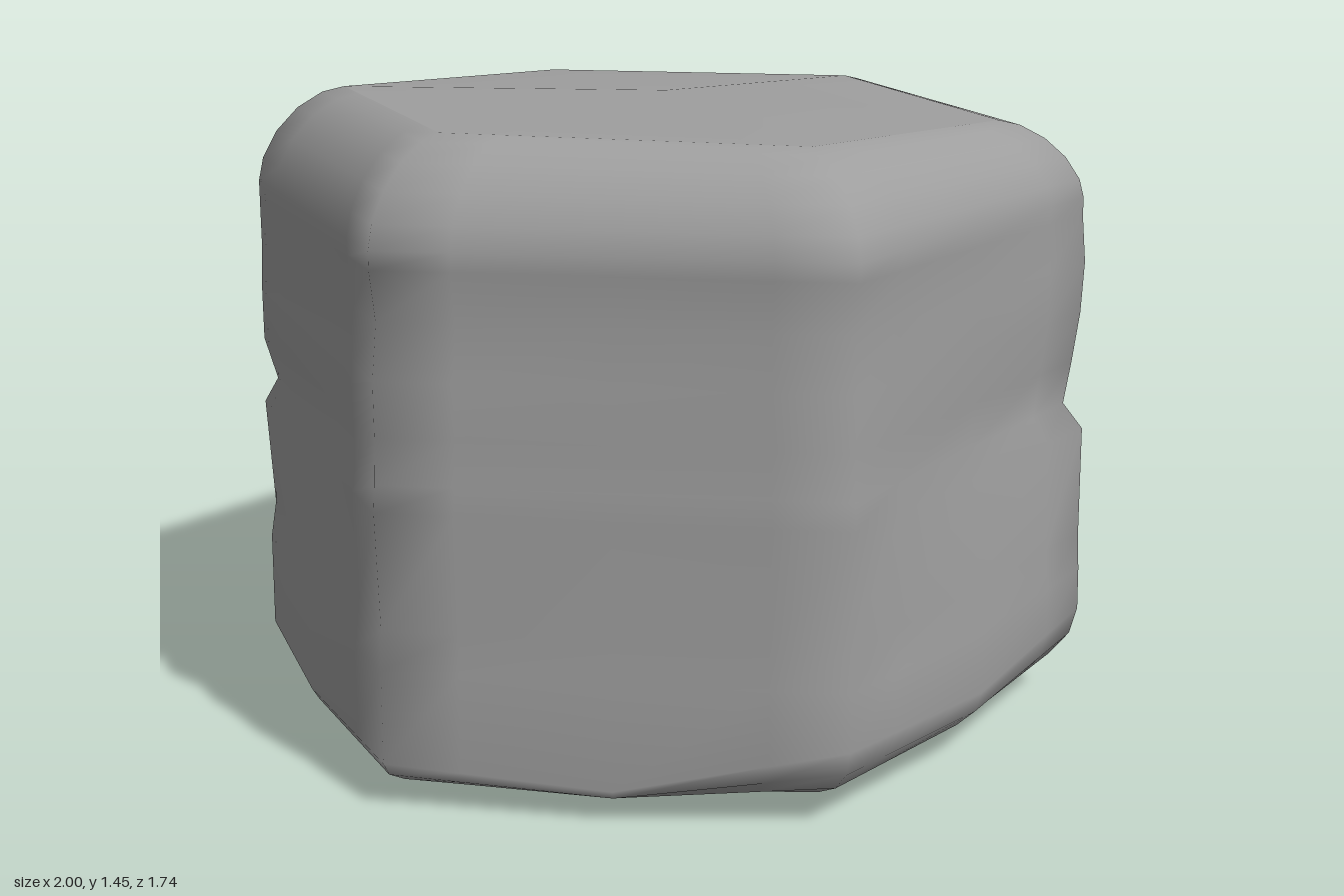
import * as THREE from 'three';

// Heights of the wall rings and, per corner, the wall radius at each of them
const wallY = [0.32, 0.41, 0.67, 0.73, 0.83, 0.95, 1.07, 1.18];
const corners = [
  // low: where the bottom rim meets the wall, top: height of the cap
  { low: 0.22, top: 1.395, r: [1, 0.995, 0.992, 0.945, 0.96, 0.975, 0.98, 0.97] },
  { low: 0.19, top: 1.42, r: [0.99, 0.985, 0.995, 0.99, 0.985, 0.985, 0.975, 0.99] },
  { low: 0.11, top: 1.435, r: [0.99, 0.985, 0.995, 0.99, 0.985, 0.985, 0.97, 0.985] },
  { low: 0.09, top: 1.45, r: [1, 0.985, 1, 0.965, 0.995, 0.995, 0.99, 0.99] },
  { low: 0.16, top: 1.425, r: [1, 1, 1, 0.995, 1, 1, 1, 1] },
  { low: 0.15, top: 1.42, r: [0.975, 1, 1, 0.995, 1, 1, 1, 1] },
];
// Middle of the side after each corner: rim height and how far its foot bulges
const sides = [
  { low: 0.17, bulge: 0.03 },
  { low: 0.08, bulge: 0.015 },
  { low: 0.1, bulge: 0.035 },
  { low: 0.11, bulge: 0.02 },
  { low: 0.15, bulge: 0.005 },
  { low: 0.12, bulge: 0.01 },
];
const RIM = 5;

// Profile from the bottom cap edge to the top cap edge, as [radius, y]
function makeProfile({ low, top, r }) {
  const pts = [];
  const foot = r[0] + 0.002, head = r[r.length - 1];
  for (let i = 0; i <= RIM; i++) {
    const a = (i / RIM) * Math.PI / 2;
    pts.push([0.66 + (foot - 0.66) * Math.sin(a), 0.012 + (low - 0.012) * (1 - Math.cos(a))]);
  }
  wallY.forEach((y, i) => pts.push([r[i], y]));
  // the exponent flattens the top rim towards a chamfer
  for (let i = 0; i <= RIM; i++) {
    const a = (i / RIM) * Math.PI / 2;
    const out = Math.max(0, Math.cos(a)) ** 1.2, up = Math.sin(a) ** 1.2;
    pts.push([0.77 + (head - 0.77) * out, 1.22 + (top - 1.22) * up]);
  }
  return pts;
}

// Profile of a side's middle: the mean of its two corners, bulging at the foot
function sideProfile({ low, bulge }, k) {
  const a = corners[k], b = corners[(k + 1) % 6];
  const r = a.r.map((v, i) => (v + b.r[i]) / 2 + bulge * Math.max(0, 1 - i / 2));
  return makeProfile({ low, top: (a.top + b.top) / 2, r });
}

function indexed(points, index) {
  const g = new THREE.BufferGeometry().setFromPoints(points);
  g.setIndex(index);
  g.computeVertexNormals();
  return g;
}

export function createModel() {
  const group = new THREE.Group();
  group.name = 'hexagonalStone';
  const material = new THREE.MeshStandardMaterial({ color: 0x9e9e9e });
  const add = (name, geometry) => {
    const mesh = new THREE.Mesh(geometry, material);
    mesh.name = name;
    group.add(mesh);
  };

  // Twelve stations: corners and side middles in turn
  const stations = corners.flatMap((c, k) => [makeProfile(c), sideProfile(sides[k], k)]);
  const at = (s, i) => {
    const [r, y] = stations[s % 12][i];
    const a = s * Math.PI / 6;
    const reach = r * (s % 2 ? Math.cos(Math.PI / 6) : 1);
    return new THREE.Vector3(reach * Math.cos(a), y, reach * Math.sin(a));
  };
  // One more column next to each corner keeps the corner shading narrow
  const rings = stations[0].map((_, i) => {
    const ring = [];
    for (let s = 0; s < 12; s++) {
      ring.push(at(s, i), at(s, i).lerp(at(s + 1, i), s % 2 ? 0.66 : 0.34));
    }
    return ring;
  });

  // Weathered sides with rounded rims
  const n = rings[0].length;
  const index = [];
  for (let i = 0; i < rings.length - 1; i++) {
    for (let j = 0; j < n; j++) {
      const a = i * n + j, b = i * n + (j + 1) % n;
      index.push(a, a + n, b, b, a + n, b + n);
    }
  }
  add('sides', indexed(rings.flat(), index));

  // Nearly flat caps, each a fan around its centre
  const cap = (ring, centreY, up) => {
    const fan = [];
    for (let j = 0; j < n; j++) {
      const a = j, b = (j + 1) % n;
      fan.push(n, up ? b : a, up ? a : b);
    }
    return indexed([...ring, new THREE.Vector3(0, centreY, 0)], fan);
  };
  add('topFace', cap(rings[rings.length - 1], 1.452, true));
  add('bottomFace', cap(rings[0], 0, false));
  return group;
}
